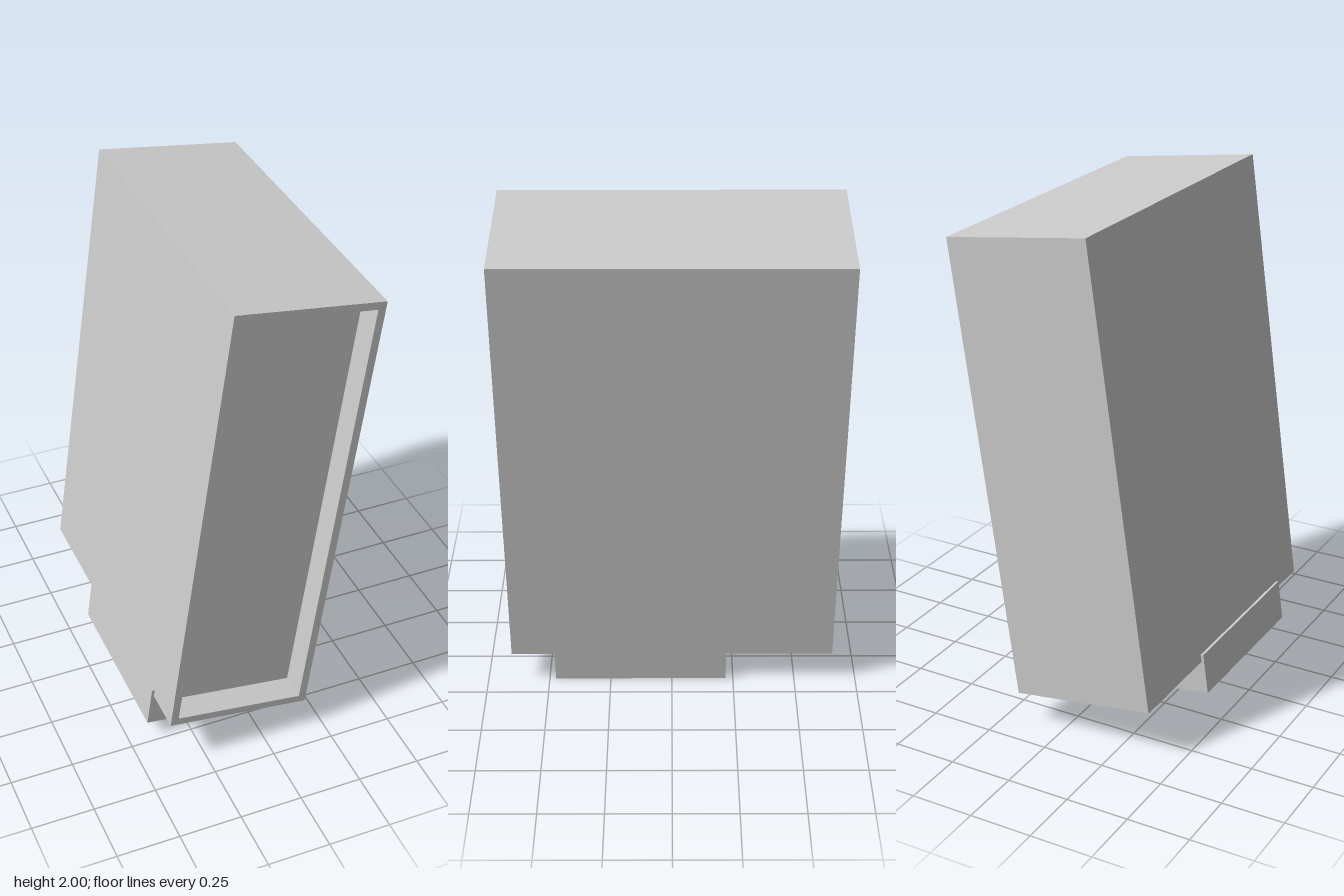
import * as THREE from 'three';

const W = 0.575, H = 1.805, D = 1.3;    // cabinet size
const RIM = 0.03, RECESS = 0.11;        // front opening
const TILT = THREE.MathUtils.degToRad(7.8);

const material = new THREE.MeshStandardMaterial({ color: 0xcccccc, flatShading: true });

function add(group, name, geometry, x, y, z) {
  const mesh = new THREE.Mesh(geometry, material);
  mesh.name = name;
  mesh.position.set(x, y, z);
  group.add(mesh);
}

// Rectangle centred on the origin
function rectangle(w, h) {
  return [[-1, -1], [1, -1], [1, 1], [-1, 1]].map(([x, y]) => new THREE.Vector2(x * w / 2, y * h / 2));
}

export function createModel() {
  const model = new THREE.Group();
  model.name = 'tiltedCabinet';

  // Everything leans together towards +x
  const cabinet = new THREE.Group();
  cabinet.name = 'cabinet';
  cabinet.position.set(0.0125, 1.0675, 0);
  cabinet.rotation.z = -TILT;
  model.add(cabinet);

  // Closed body behind the recess
  add(cabinet, 'body', new THREE.BoxGeometry(W, H, D - RECESS), 0, 0, -RECESS / 2);

  // Thin rim around the recessed front panel
  const rim = new THREE.Shape(rectangle(W, H));
  rim.holes.push(new THREE.Path(rectangle(W - 2 * RIM, H - 2 * RIM).reverse()));
  add(cabinet, 'frontRim', new THREE.ExtrudeGeometry(rim, { depth: RECESS, bevelEnabled: false }),
    0, 0, D / 2 - RECESS);

  // Foot block: flush on +x, slightly proud on -x, let into the cabinet floor
  const left = -0.299, right = W / 2, bottom = -H / 2 - 0.136, top = -H / 2 + RIM;
  const back = -0.22, front = 0.475;
  add(cabinet, 'foot', new THREE.BoxGeometry(right - left, top - bottom, front - back),
    (left + right) / 2, (top + bottom) / 2, (front + back) / 2);

  return model;
}
